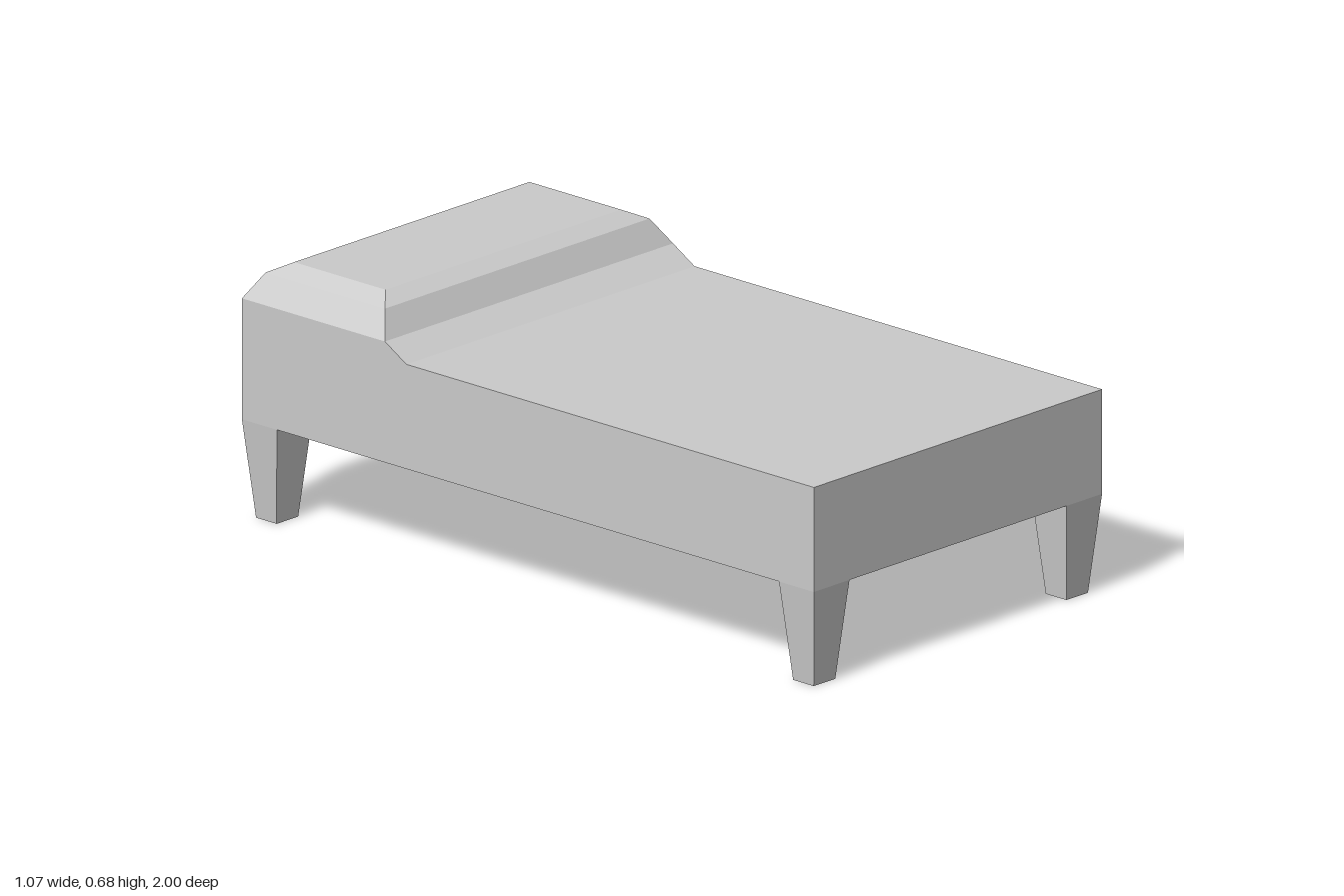
import * as THREE from 'three';

const material = new THREE.MeshStandardMaterial({ color: 0xcccccc, flatShading: true });

// Closed solid through stacked rectangles [y, halfWidth, halfDepth], bottom to top
function stackedBox(rings) {
  const pos = [];
  const loops = rings.map(([y, w, d]) => [[-w, y, -d], [-w, y, d], [w, y, d], [w, y, -d]]);
  const quad = (a, b, c, d) => pos.push(...a, ...b, ...c, ...a, ...c, ...d);
  for (let r = 0; r < loops.length - 1; r++) {
    for (let i = 0; i < 4; i++) {
      const j = (i + 1) % 4;
      quad(loops[r][i], loops[r][j], loops[r + 1][j], loops[r + 1][i]);
    }
  }
  quad(...[...loops[0]].reverse());
  quad(...loops[loops.length - 1]);
  const geometry = new THREE.BufferGeometry();
  geometry.setAttribute('position', new THREE.Float32BufferAttribute(pos, 3));
  geometry.computeVertexNormals();
  return geometry;
}

export function createModel() {
  const bed = new THREE.Group();
  bed.name = 'bed';
  const add = (name, geometry, x = 0, z = 0) => {
    const mesh = new THREE.Mesh(geometry, material);
    mesh.name = name;
    mesh.position.set(x, 0, z);
    bed.add(mesh);
  };

  // Mattress block: side profile (front to head) with a short ramp up to the pillow
  const width = 1.07;
  const profile = [[-1, 0.265], [1, 0.265], [1, 0.59], [0.5, 0.59], [0.425, 0.546], [-1, 0.546]];
  const shape = new THREE.Shape(profile.map(([a, y]) => new THREE.Vector2(a, y)));
  const body = new THREE.ExtrudeGeometry(shape, { depth: width, bevelEnabled: false });
  body.translate(0, 0, -width / 2).rotateY(Math.PI / 2);
  add('mattress', body);

  // Pillow with two chamfers all round
  add('pillow', stackedBox([
    [0.59, 0.535, 0.25],
    [0.658, 0.491, 0.209],
    [0.684, 0.437, 0.16],
  ]), 0, -0.75);

  // Four tapered legs
  const leg = stackedBox([[0, 0.04, 0.036], [0.265, 0.066, 0.061]]);
  for (const sx of [1, -1]) {
    for (const sz of [1, -1]) {
      add(`${sz > 0 ? 'front' : 'back'}${sx > 0 ? 'Left' : 'Right'}Leg`, leg, sx * 0.469, sz * 0.939);
    }
  }
  return bed;
}
